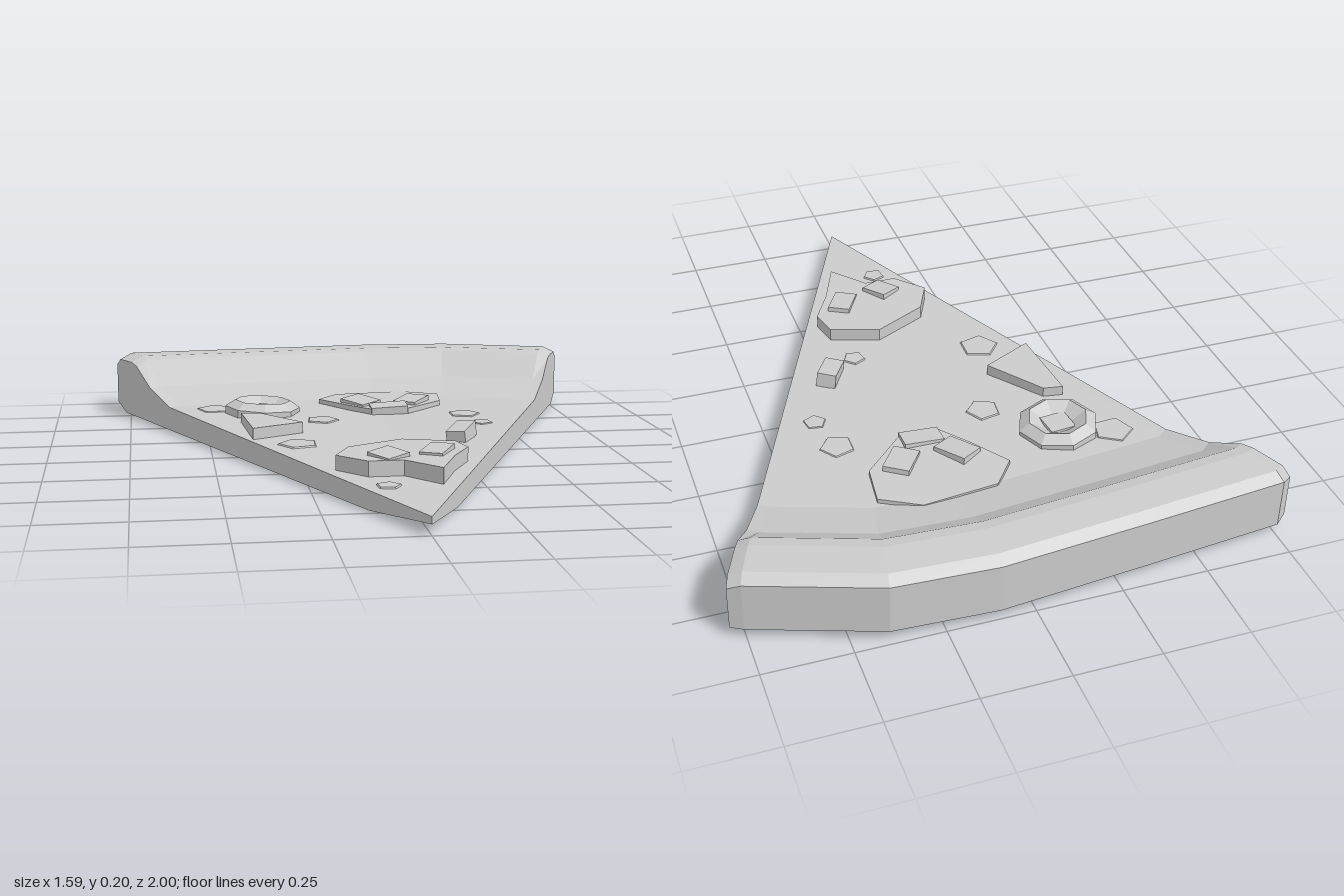
import * as THREE from 'three';

const mat = new THREE.MeshStandardMaterial({ color: 0xcccccc, flatShading: true });

// Height of the cheese surface at depth z
const surfaceY = (z) => 0.05 + 0.0165 * (1 - z);

function add(group, name, geo, x, y, z, rx = 0, ry = 0, rz = 0) {
  const m = new THREE.Mesh(geo, mat);
  m.name = name;
  m.position.set(x, y, z);
  m.rotation.set(rx, ry, rz);
  group.add(m);
  return m;
}

// Wedge body: one closed profile swept across rays that fan out from the tip
function sliceGeometry() {
  const ends = [[-0.795, -0.88], [-0.755, -0.915], [-0.35, -0.957], [0.1, -1],
    [0.4, -0.985], [0.755, -0.86], [0.79, -0.84]];
  // [fraction of the ray, height]: tip, cheese, crust slope, crust back, base
  const profile = [[0, 0.05], [0.3, 0.06], [0.78, 0.077], [0.86, 0.12], [0.915, 0.196], [0.935, 0.204],
    [0.985, 0.202], [1, 0.18], [1, 0.03], [0.965, 0], [0.15, 0], [0, 0.03]];
  const n = profile.length;
  const base = 9;
  const pos = [];
  const index = [];
  ends.forEach(([ex, ez], i) => {
    const isEdge = i === 0 || i === ends.length - 1;
    for (const [s, y] of profile) {
      pos.push(ex * s, isEdge && y > 0.15 ? y - 0.017 : y, 1 + (ez - 1) * s);
    }
  });
  for (let i = 0; i < ends.length - 1; i++) {
    for (let k = 0; k < n; k++) {
      const a = i * n + k, b = a + n;
      const d = i * n + (k + 1) % n, c = d + n;
      index.push(a, b, c, a, c, d);
    }
  }
  // Cut sides
  const right = (ends.length - 1) * n;
  for (let k = 0; k < n; k++) {
    const k2 = (k + 1) % n;
    if (k === base || k2 === base) continue;
    index.push(base, k, k2, right + base, right + k2, right + k);
  }
  const g = new THREE.BufferGeometry();
  g.setAttribute('position', new THREE.Float32BufferAttribute(pos, 3));
  g.setIndex(index);
  const flat = g.toNonIndexed();
  flat.computeVertexNormals();
  return flat;
}

// Flat piece from an outline of [x, z] points, laid on the cheese
function slab(points, height) {
  const shape = new THREE.Shape(points.map(([x, z]) => new THREE.Vector2(x, -z)));
  const g = new THREE.ExtrudeGeometry(shape, { depth: height, bevelEnabled: false });
  g.rotateX(-Math.PI / 2);
  return g;
}

export function createModel() {
  const model = new THREE.Group();
  model.name = 'pizzaSlice';
  add(model, 'crustAndCheese', sliceGeometry(), 0, 0, 0);

  // Salami discs
  const front = [[-0.18, 0.48], [-0.13, 0.37], [0.04, 0.28], [0.19, 0.33], [0.21, 0.42],
    [0.15, 0.53], [0.09, 0.68], [0, 0.57], [-0.1, 0.57]];
  add(model, 'frontSalami', slab(front, 0.05), 0, 0.052, 0);
  const back = [[-0.12, -0.48], [-0.05, -0.57], [0.18, -0.595], [0.295, -0.53], [0.28, -0.4],
    [0.15, -0.27], [0.03, -0.27], [-0.04, -0.36]];
  add(model, 'backSalami', slab(back, 0.025), 0, 0.065, 0);

  // Chopped pieces lying on the discs
  for (const [x, y, z, a, w, d] of [
    [-0.035, 0.1, 0.51, 0.6, 0.08, 0.09],
    [0.11, 0.1, 0.47, -0.5, 0.07, 0.11],
    [0.01, 0.09, -0.39, 0.6, 0.08, 0.11],
    [0.18, 0.09, -0.39, -0.6, 0.08, 0.11],
    [0.09, 0.086, -0.3, 0, 0.12, 0.07],
  ]) add(model, 'choppedPiece', new THREE.BoxGeometry(w, 0.026, d), x, y, z, 0.08, a, 0.05);

  // Olive ring with a sunken centre
  const ring = new THREE.LatheGeometry([[0.122, -0.02], [0.122, 0.012], [0.09, 0.034], [0.045, 0.006], [0, 0.006]]
    .map(([x, y]) => new THREE.Vector2(x, y)), 8);
  add(model, 'oliveRing', ring, -0.32, 0.081, -0.355, 0, 0, -0.05);
  add(model, 'oliveCentre', new THREE.BoxGeometry(0.08, 0.03, 0.08), -0.32, 0.08, -0.355, 0, 0.1, 0);

  // Larger cube half sunk in the cheese, and a small crumb
  const chunk = slab([[-0.4, -0.2], [-0.34, -0.19], [-0.22, -0.02], [-0.38, 0.06]], 0.045);
  add(model, 'pepperChunk', chunk, 0, 0.057, 0);
  add(model, 'smallCrumb', new THREE.BoxGeometry(0.06, 0.045, 0.11), 0.25, 0.082, 0.12, 0.15, -0.5, 0.15);

  // Melted cheese flakes
  for (const [x, z, r, a] of [
    [0.33, -0.24, 0.06, 0.3], [0.36, -0.1, 0.04, 1.1], [-0.47, -0.42, 0.07, 0.7],
    [-0.14, -0.2, 0.06, 0.2], [-0.25, 0.14, 0.07, 0.9], [0.15, 0.2, 0.04, 0.5],
    [-0.06, 0.68, 0.04, 0.4],
  ]) {
    add(model, 'cheeseFlake', new THREE.CylinderGeometry(r * 0.85, r, 0.012, 5),
      x, surfaceY(z) - 0.001, z, 0.0165, a, 0);
  }
  return model;
}
